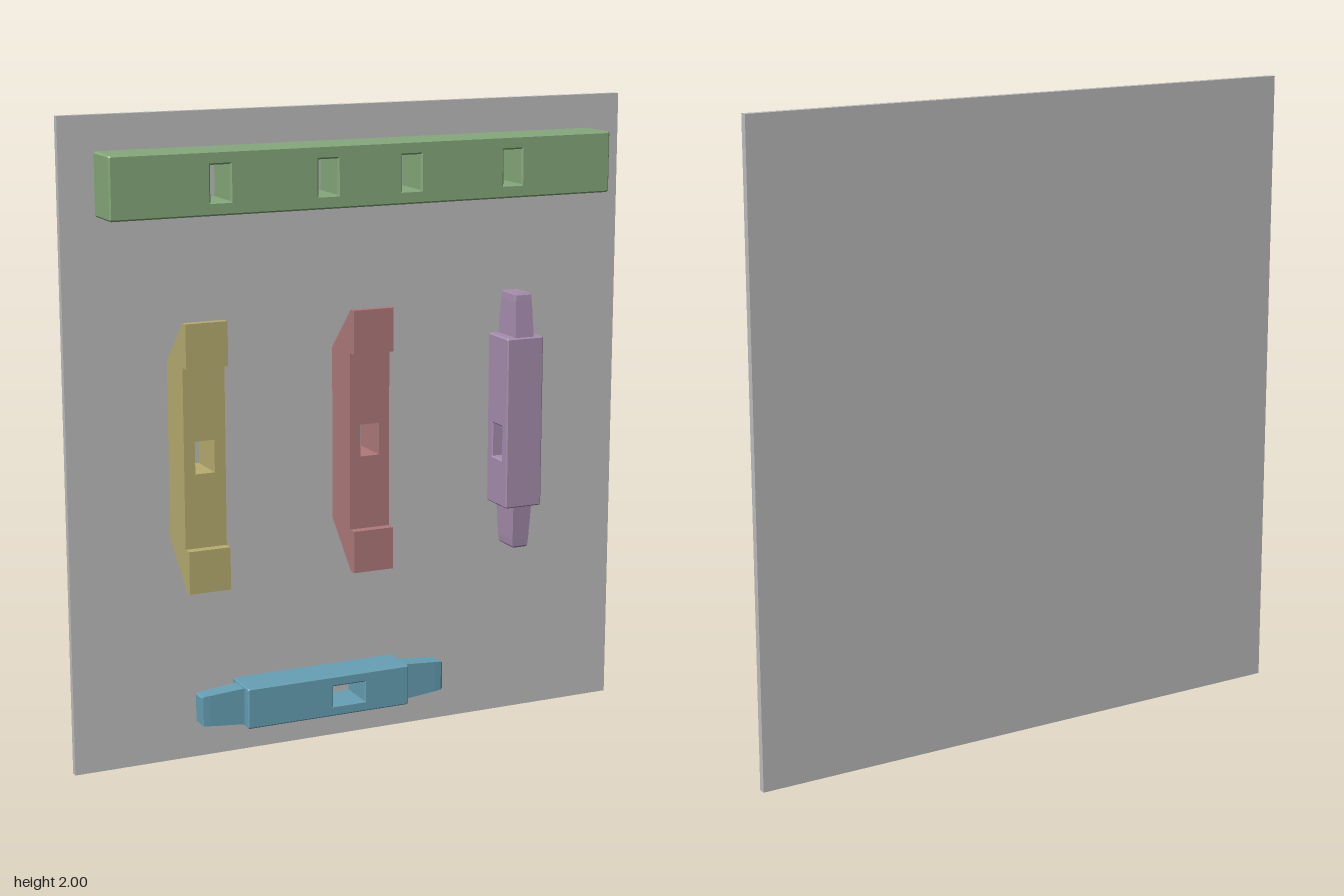
import * as THREE from 'three';

const paint = (name, color) => {
  const m = new THREE.MeshStandardMaterial({ color });
  m.name = name;
  return m;
};

function addMesh(parent, name, geometry, material, x = 0, y = 0, z = 0) {
  const mesh = new THREE.Mesh(geometry, material);
  mesh.name = name;
  mesh.position.set(x, y, z);
  parent.add(mesh);
  return mesh;
}

// Eased block along x, with rectangular mortises cut through z
function mortisedBlock(w, h, d, mortises, ease) {
  const a = w / 2, b = h / 2, e = ease;
  const shape = new THREE.Shape([
    [-a + e, -b], [a - e, -b], [a, -b + e], [a, b - e],
    [a - e, b], [-a + e, b], [-a, b - e], [-a, -b + e],
  ].map(([x, y]) => new THREE.Vector2(x, y)));
  for (const [cx, mw, mh] of mortises) {
    const p = mw / 2, q = mh / 2;
    shape.holes.push(new THREE.Path([
      [cx - p, -q], [cx - p, q], [cx + p, q], [cx + p, -q],
    ].map(([x, y]) => new THREE.Vector2(x, y))));
  }
  const geometry = new THREE.ExtrudeGeometry(shape, {
    depth: d - 2 * e, bevelEnabled: true, bevelSegments: 1,
    bevelSize: e, bevelThickness: e, bevelOffset: -e,
  });
  return geometry.translate(0, 0, -d / 2 + e);
}

// Tapered tongue from x = 0 to x = length, with an eased tip
function tenonGeometry(length) {
  const sections = [[0, 0.058, 0.032], [0.8, 0.049, 0.028], [0.96, 0.047, 0.026], [1, 0.043, 0.023]];
  const geometry = new THREE.BoxGeometry(3, 2, 2, 3, 1, 1);
  const p = geometry.attributes.position;
  for (let i = 0; i < p.count; i++) {
    const [t, hy, hz] = sections[Math.round(p.getX(i) + 1.5)];
    p.setXYZ(i, t * length, p.getY(i) * hy, p.getZ(i) * hz);
  }
  const flat = geometry.toNonIndexed();
  flat.computeVertexNormals();
  return flat;
}

// Rail with a tenon at both ends, lying along x
function tenonedRail(name, material, mortiseX) {
  const rail = new THREE.Group();
  rail.name = name;
  addMesh(rail, 'railBody', mortisedBlock(0.548, 0.13, 0.127, [[mortiseX, 0.108, 0.064]], 0.004), material);
  for (const side of [1, -1]) {
    const tenon = addMesh(rail, 'tenon', tenonGeometry(0.138), material, side * 0.274);
    if (side < 0) tenon.rotation.y = Math.PI;
  }
  return rail;
}

// Profile in (z, y) extruded across x
function crossExtrude(points, width) {
  const shape = new THREE.Shape(points.map(([z, y]) => new THREE.Vector2(z, y)));
  return new THREE.ExtrudeGeometry(shape, { depth: width, bevelEnabled: false })
    .translate(0, 0, -width / 2).rotateY(-Math.PI / 2);
}

// Upright bracket with raised end pads, sloped back corners and a through mortise
function bracket(name, material) {
  const group = new THREE.Group();
  group.name = name;
  const width = 0.132, hole = 0.062, cheek = (width - hole) / 2;
  const front = 0.062, back = -0.07, pad = 0.092;
  const upper = [[front, 1.263], [pad, 1.263], [pad, 1.398], [0.068, 1.398], [back, 1.26]];
  const lower = [[back, 0.716], [0.068, 0.578], [pad, 0.578], [pad, 0.71], [front, 0.71]];
  for (const side of [1, -1]) {
    addMesh(group, 'cheek', crossExtrude([...lower, ...upper], cheek), material, side * (hole + cheek) / 2);
  }
  // Core above and below the mortise
  addMesh(group, 'upperCore', crossExtrude([[back, 1.038], [front, 1.038], ...upper], hole), material);
  addMesh(group, 'lowerCore', crossExtrude([...lower, [front, 0.938], [back, 0.938]], hole), material);
  return group;
}

export function createModel() {
  const model = new THREE.Group();
  model.name = 'joineryBoard';
  const grey = paint('board grey', 0xbebebe);
  const green = paint('beam green', 0x86a97c);
  const yellow = paint('bracket yellow', 0xb8ad70);
  const red = paint('bracket red', 0xb07a7a);
  const purple = paint('rail purple', 0xa78eae);
  const blue = paint('rail blue', 0x67a0b5);

  addMesh(model, 'backBoard', new THREE.BoxGeometry(1.86, 2, 0.022), grey, 0, 1, -0.081);

  // Long beam with four mortises
  const mortises = [-0.482, -0.139, 0.136, 0.481].map((x) => [x, 0.062, 0.108]);
  addMesh(model, 'topBeam', mortisedBlock(1.646, 0.19, 0.135, mortises, 0.005), green, 0, 1.8, -0.0025);

  // Pair of matching brackets
  const leftBracket = bracket('yellowBracket', yellow);
  leftBracket.position.x = -0.543;
  const centreBracket = bracket('redBracket', red);
  centreBracket.position.x = -0.003;
  model.add(leftBracket, centreBracket);

  // Upright rail, turned so its mortise runs sideways
  const upright = tenonedRail('uprightRail', purple, -0.067);
  upright.quaternion.setFromRotationMatrix(new THREE.Matrix4().makeBasis(
    new THREE.Vector3(0, 1, 0), new THREE.Vector3(0, 0, 1), new THREE.Vector3(1, 0, 0)));
  upright.position.set(0.538, 0.988, -0.005);

  // Level rail, mortise facing forward
  const level = tenonedRail('levelRail', blue, 0.067);
  level.position.set(-0.137, 0.175, -0.0075);
  model.add(upright, level);

  return model;
}
